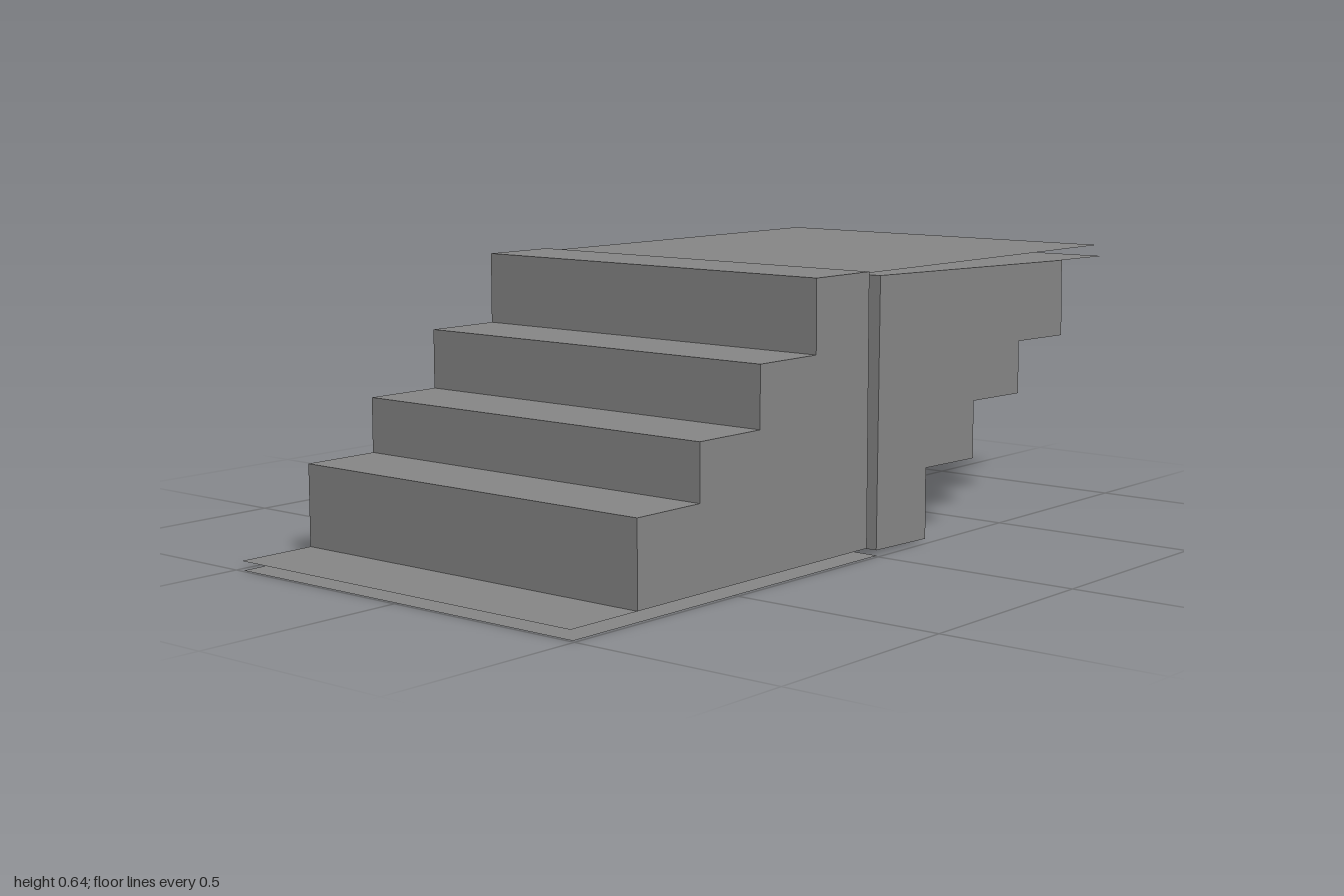
import * as THREE from 'three';

const material = new THREE.MeshStandardMaterial({ color: 0x878787, flatShading: true, side: THREE.DoubleSide });

// Solid flight of steps: [z, y] profile swept across x
function flight(name, profile, x0, x1) {
  const shape = new THREE.Shape(profile.map(([z, y]) => new THREE.Vector2(z, y)));
  const geometry = new THREE.ExtrudeGeometry(shape, { depth: x1 - x0, bevelEnabled: false });
  geometry.rotateY(-Math.PI / 2).translate(x1, 0, 0);
  const mesh = new THREE.Mesh(geometry, material);
  mesh.name = name;
  return mesh;
}

// Paper-thin sheet running from (z0, y0) to (z1, y1), z0 < z1
function sheet(name, x0, x1, [z0, y0], [z1, y1]) {
  const geometry = new THREE.PlaneGeometry(x1 - x0, Math.hypot(z1 - z0, y1 - y0));
  geometry.rotateX(-Math.PI / 2 + Math.atan2(y0 - y1, z1 - z0));
  geometry.translate((x0 + x1) / 2, (y0 + y1) / 2, (z0 + z1) / 2);
  const mesh = new THREE.Mesh(geometry, material);
  mesh.name = name;
  return mesh;
}

export function createModel() {
  const group = new THREE.Group();
  group.name = 'doubleStairs';

  // Upright front flight, climbing towards the middle
  const upright = [[0.03, 0.023], [0.805, 0.023]];
  const treads = [[0.805, 0.211, 0.612], [0.612, 0.338, 0.415], [0.415, 0.476, 0.222], [0.222, 0.641, 0.03]];
  for (const [front, y, back] of treads) upright.push([front, y], [back, y]);
  group.add(flight('frontStairs', upright, -0.48, 0.49));
  group.add(sheet('frontLanding', -0.48, 0.49, [0.805, 0.023], [1, 0.023]));
  group.add(sheet('floorSheet', -0.483, 0.49, [-0.01, 0], [0.993, 0]));

  // Inverted rear flight, slightly tilted, turned and rolled
  const inverted = [
    [-0.023, 0.626], [-0.80, 0.607], [-0.803, 0.421], [-0.605, 0.425], [-0.605, 0.298],
    [-0.408, 0.302], [-0.408, 0.165], [-0.21, 0.169], [-0.21, 0.003], [-0.014, 0.008],
  ];
  const rear = new THREE.Group();
  rear.name = 'rearFlight';
  rear.rotation.set(0, 0.006, 0.004);
  rear.add(flight('rearStairs', inverted, -0.484, 0.483));
  rear.add(sheet('rearLanding', -0.484, 0.483, [-0.997, 0.604], [-0.80, 0.607]));
  group.add(rear);
  group.add(sheet('ceilingSheet', -0.48, 0.47, [-0.98, 0.635], [0.03, 0.635]));

  return group;
}
